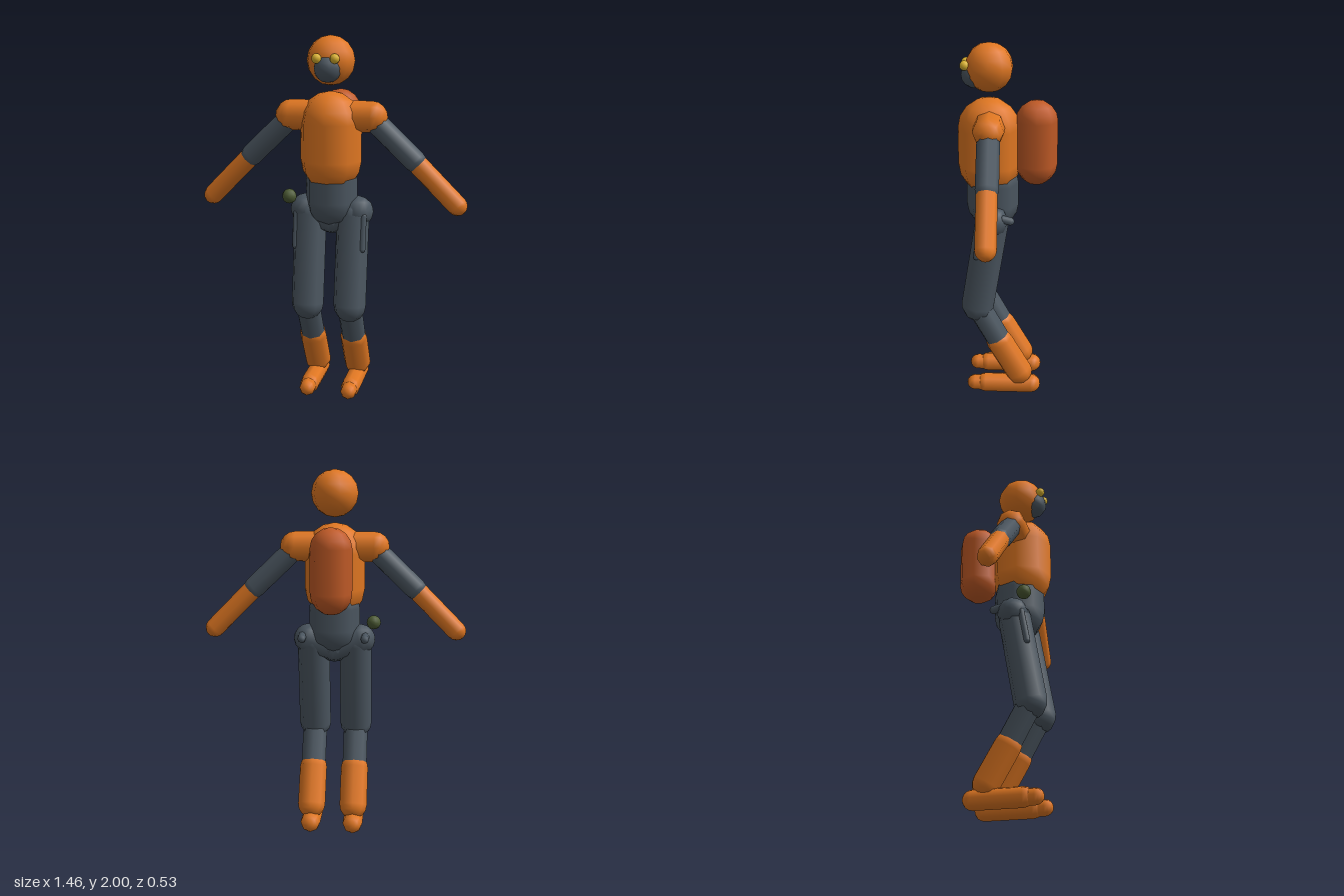
import * as THREE from 'three';

const material = (name, color) => {
  const m = new THREE.MeshStandardMaterial({ color });
  m.name = name;
  return m;
};

export function createModel() {
  const model = new THREE.Group();
  model.name = 'astronaut';
  const orange = material('suit orange', 0xe07722);
  const rust = material('pack rust', 0xc05a26);
  const grey = material('suit grey', 0x4b5660);
  const yellow = material('lamp yellow', 0xdcb430);
  const green = material('canister green', 0x4c5a34);
  const UP = new THREE.Vector3(0, 1, 0);

  // Capsule whose end-sphere centres are a and b
  function limb(name, mat, r, a, b, sides = 8) {
    const from = new THREE.Vector3(...a), to = new THREE.Vector3(...b);
    const axis = to.clone().sub(from);
    const mesh = new THREE.Mesh(new THREE.CapsuleGeometry(r, axis.length(), 4, sides), mat);
    mesh.name = name;
    mesh.position.copy(from).lerp(to, 0.5);
    mesh.quaternion.setFromUnitVectors(UP, axis.normalize());
    model.add(mesh);
  }

  function ball(name, mat, r, p) {
    const mesh = new THREE.Mesh(new THREE.SphereGeometry(r, 10, 8), mat);
    mesh.name = name;
    mesh.position.set(...p);
    model.add(mesh);
  }

  // Head and mask
  ball('head', orange, 0.13, [0, 1.87, 0.1]);
  ball('mask', grey, 0.075, [0, 1.835, 0.175]);

  // Trunk and backpack
  limb('torso', orange, 0.167, [0, 1.345, 0.103], [0, 1.545, 0.103]);
  limb('abdomen', grey, 0.142, [0, 1.12, 0.085], [0, 1.24, 0.085]);
  limb('backpack', rust, 0.113, [0, 1.348, -0.152], [0, 1.587, -0.152]);

  // Canister floating beside the right hip
  ball('canister', green, 0.04, [-0.217, 1.148, 0.158]);

  for (const s of [1, -1]) {
    const side = s > 0 ? 'left' : 'right';
    const part = (name, mat, r, a, b) =>
      limb(side + name, mat, r, [s * a[0], a[1], a[2]], [s * b[0], b[1], b[2]]);

    ball(side + 'Lamp', yellow, 0.026, [s * 0.048, 1.886, 0.225]);

    // Arm
    part('Shoulder', orange, 0.083, [0.08, 1.58, 0.095], [0.22, 1.58, 0.093]);
    part('UpperArm', grey, 0.06, [0.23, 1.56, 0.091], [0.45, 1.35, 0.085]);
    part('Forearm', orange, 0.054, [0.46, 1.34, 0.085], [0.678, 1.12, 0.078]);

    // Hip with knob and thigh sheath
    part('Hip', grey, 0.086, [0, 1.02, 0.08], [0.143, 1.065, 0.08]);
    part('HipKnob', grey, 0.023, [0.175, 1.09, 0.02], [0.175, 1.08, -0.018]);
    part('Sheath', grey, 0.018, [0.185, 1.05, 0.135], [0.185, 0.875, 0.165]);

    // Leg
    part('Thigh', grey, 0.09, [0.118, 1.04, 0.085], [0.118, 0.553, 0.166]);
    part('Shin', grey, 0.069, [0.118, 0.55, 0.165], [0.118, 0.27, 0.012]);
    part('Boot', orange, 0.077, [0.118, 0.323, 0.042], [0.118, 0.137, -0.066]);
    part('Foot', orange, 0.055, [0.118, 0.056, -0.135], [0.118, 0.056, 0.125]);
    part('Toe', orange, 0.045, [0.118, 0.055, 0.12], [0.118, 0.055, 0.186]);
  }
  return model;
}
